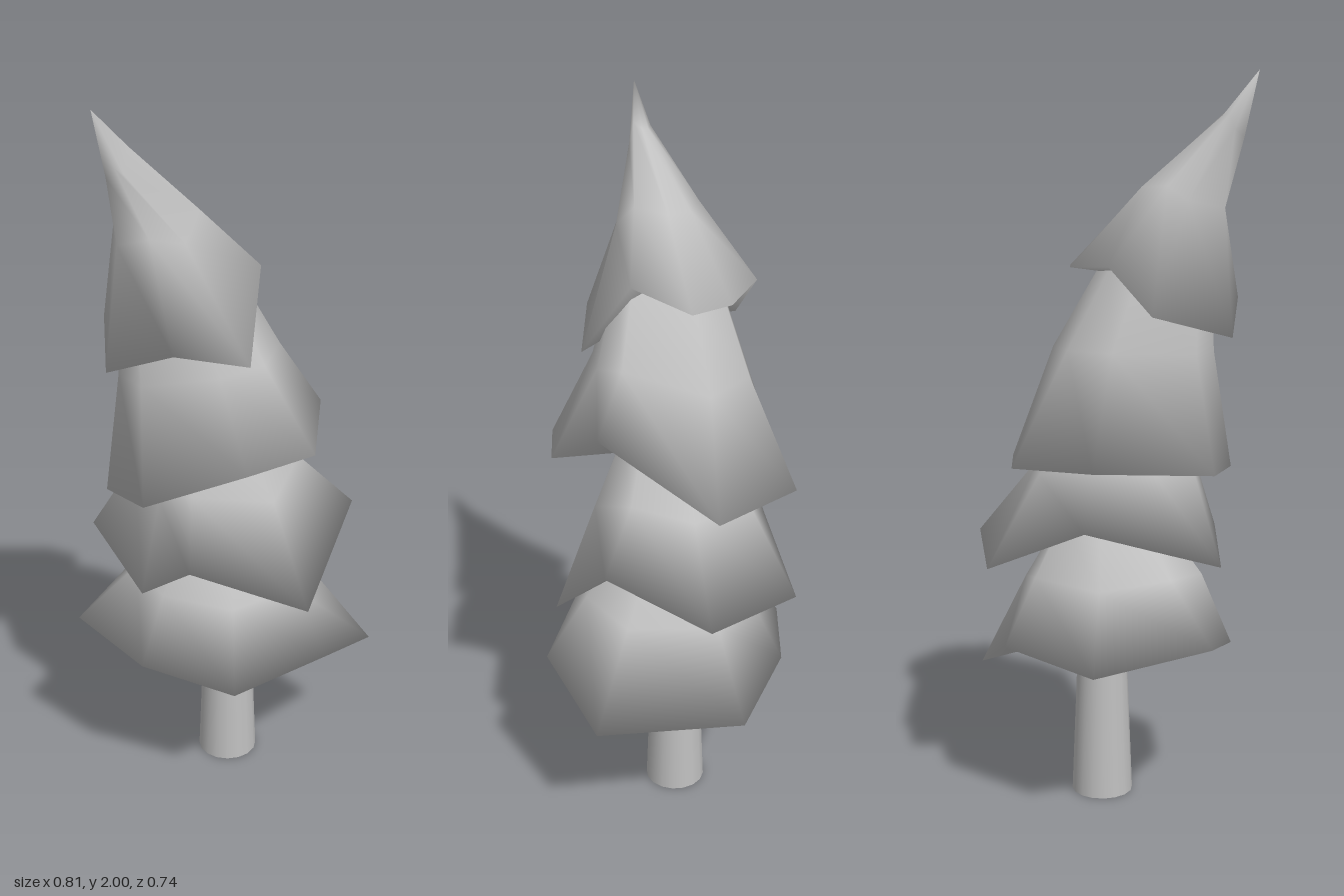
import * as THREE from 'three';

const SIDES = 8;

// Each tier: tip point, rings [x, y, z, radius], and rim points (front, left, back, right)
const TIERS = [
  {
    name: 'bottomFoliage',
    tip: [0, 0.9, -0.01],
    rings: [[0, 0.8, -0.01, 0.15], [-0.01, 0.65, 0, 0.25]],
    rim: [[0.02, 0.49, 0.37], [0.3, 0.395, 0.3], [0.35, 0.375, -0.11], [0.21, 0.48, -0.27],
      [-0.08, 0.455, -0.37], [-0.36, 0.52, -0.23], [-0.345, 0.465, 0.02], [-0.23, 0.43, 0.265]],
  },
  {
    name: 'lowerFoliage',
    tip: [-0.05, 1.25, -0.02],
    rings: [[-0.055, 1.14, -0.025, 0.14], [-0.015, 0.96, -0.02, 0.228]],
    rim: [[-0.01, 0.63, 0.33], [0.25, 0.85, 0.255], [0.405, 0.73, 0.01], [0.25, 0.7, -0.29],
      [-0.03, 0.82, -0.3], [-0.26, 0.775, -0.27], [-0.32, 0.68, 0], [-0.265, 0.77, 0.13]],
  },
  {
    name: 'upperFoliage',
    tip: [-0.17, 1.64, -0.04],
    rings: [[-0.14, 1.52, -0.04, 0.15], [-0.075, 1.3, -0.03, 0.22]],
    rim: [[0, 1.1, 0.33], [0.125, 1.19, 0.235], [0.27, 0.97, -0.055], [0.165, 0.985, -0.315],
      [-0.07, 0.99, -0.345], [-0.33, 0.96, -0.12], [-0.335, 0.96, 0.03], [-0.2, 1.09, 0.28]],
  },
  {
    name: 'topFoliage',
    tip: [-0.41, 2, -0.03],
    rings: [[-0.343, 1.87, -0.025, 0.03], [-0.215, 1.69, -0.035, 0.115]],
    rim: [[-0.12, 1.345, 0.21], [0.02, 1.56, 0.11], [0.105, 1.5, -0.03], [0.06, 1.5, -0.155],
      [-0.09, 1.51, -0.28], [-0.2, 1.385, -0.26], [-0.36, 1.32, -0.07], [-0.32, 1.41, 0.14]],
  },
];

// One smooth shell: tip, tilted rings, jagged rim, and a shallow underside
function tierGeometry({ tip, rings, rim }) {
  const centre = [0, 1, 2].map((k) => rim.reduce((sum, p) => sum + p[k], 0) / SIDES);
  const loops = rings.map(([x, y, z, r]) => rim.map((p) => {
    const a = Math.atan2(p[2] - centre[2], p[0] - centre[0]);
    return [x + r * Math.cos(a), y + (p[1] - centre[1]) * 0.3, z + r * Math.sin(a)];
  }));
  loops.push(rim);
  const inner = [centre[0], centre[1] + 0.03, centre[2]];
  const points = [tip, ...loops.flat(), inner];
  const rimStart = 1 + (loops.length - 1) * SIDES;

  const indices = [];
  for (let i = 0; i < SIDES; i++) {
    const j = (i + 1) % SIDES;
    indices.push(0, 1 + i, 1 + j);
    for (let a = 1; a < rimStart; a += SIDES) {
      const b = a + SIDES;
      indices.push(b + i, b + j, a + i, b + j, a + j, a + i);
    }
    indices.push(points.length - 1, rimStart + j, rimStart + i);
  }

  const geometry = new THREE.BufferGeometry();
  geometry.setAttribute('position', new THREE.Float32BufferAttribute(points.flat(), 3));
  geometry.setIndex(indices);
  geometry.computeVertexNormals();
  return geometry;
}

export function createModel() {
  const model = new THREE.Group();
  model.name = 'leaningTree';
  const grey = new THREE.MeshStandardMaterial({ color: 0xc0c0c0 });
  grey.name = 'plainGrey';

  // Tapered trunk
  const trunk = new THREE.Mesh(new THREE.CylinderGeometry(0.062, 0.086, 0.6, 16), grey);
  trunk.name = 'trunk';
  trunk.position.set(0.022, 0.3, -0.012);
  model.add(trunk);

  // Four overlapping foliage tiers
  for (const tier of TIERS) {
    const foliage = new THREE.Mesh(tierGeometry(tier), grey);
    foliage.name = tier.name;
    model.add(foliage);
  }
  return model;
}
